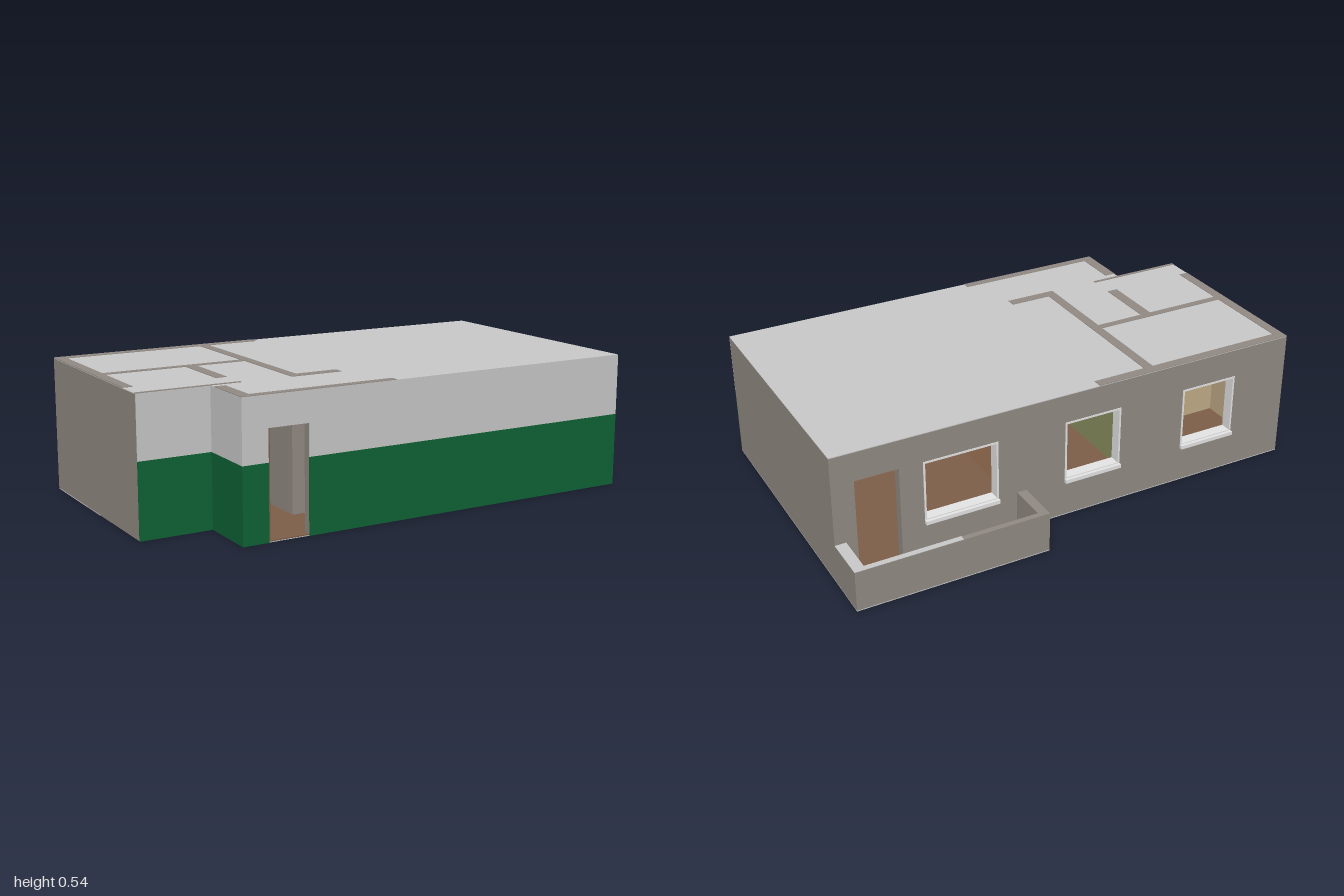
import * as THREE from 'three';
import { mergeGeometries } from 'three/addons/utils/BufferGeometryUtils.js';

const paint = (name, color) => {
  const m = new THREE.MeshStandardMaterial({ color });
  m.name = name;
  return m;
};

export function createModel() {
  const house = new THREE.Group();
  house.name = 'house';
  const taupe = paint('taupe render', 0x938b84);
  const grey = paint('light grey', 0xc9c9c9);
  const green = paint('dark green', 0x0e6236);
  const brown = paint('brown floor', 0x7d5f48);
  const terracotta = paint('terracotta wall', 0xa57858);
  const olive = paint('olive wall', 0x8c9160);
  const beige = paint('beige wall', 0xc2ad88);
  const white = paint('white trim', 0xe6e6e6);

  const H = 0.538, B = 0.004; // wall top and wall foot

  // box geometry given by its limits
  const block = (x0, x1, y0, y1, z0, z1) =>
    new THREE.BoxGeometry(x1 - x0, y1 - y0, z1 - z0)
      .translate((x0 + x1) / 2, (y0 + y1) / 2, (z0 + z1) / 2);
  const add = (name, mat, ...limits) => {
    const mesh = new THREE.Mesh(mergeGeometries(limits.map((l) => block(...l))), mat);
    mesh.name = name;
    house.add(mesh);
  };

  // straight wall along x or z, with rectangular openings [u0, u1, y0, y1]
  const wall = (name, mat, axis, u0, u1, p0, p1, openings = [], y0 = B, y1 = H) => {
    const parts = [];
    const piece = (a, b, lo, hi) => {
      if (b - a < 1e-4 || hi - lo < 1e-4) return;
      parts.push(axis === 'x' ? [a, b, lo, hi, p0, p1] : [p0, p1, lo, hi, a, b]);
    };
    let u = u0;
    for (const [a, b, lo, hi] of openings) {
      piece(u, a, y0, y1);
      piece(a, b, y0, Math.min(Math.max(lo, y0), y1));
      piece(a, b, Math.max(Math.min(hi, y1), y0), y1);
      u = b;
    }
    piece(u, u1, y0, y1);
    add(name, mat, ...parts);
  };

  // openings
  const windowBed = [-0.75, -0.5, 0.17, 0.42];
  const windowMid = [-0.21, 0.04, 0.17, 0.42];
  const windowLiving = [0.33, 0.64, 0.17, 0.42];
  const balconyDoor = [0.735, 0.91, 0, 0.42];
  const frontDoor = [-0.605, -0.44, 0, 0.42];
  const bedDoor = [-0.565, -0.41, 0, 0.43];
  const bathDoor = [0.26, 0.345, 0, 0.42];
  const midDoor = [-0.12, 0.06, 0, 0.42];
  const livingDoor = [0.42, 0.58, 0, 0.42];

  // outer walls
  wall('backWall', taupe, 'x', -1, 1, -0.45, -0.41, [windowBed, windowMid, windowLiving, balconyDoor]);
  wall('leftWall', taupe, 'z', -0.41, 0.627, 0.96, 1);
  wall('rightWall', taupe, 'z', -0.41, 0.382, -1, -0.96);
  wall('frontWall', taupe, 'x', -0.707, 0.96, 0.595, 0.627, [frontDoor]);
  wall('porchWall', taupe, 'z', 0.345, 0.595, -0.707, -0.67);
  wall('bathFrontWall', taupe, 'x', -0.96, -0.707, 0.345, 0.382);
  wall('bathInnerFrontWall', taupe, 'x', -0.67, -0.585, 0.345, 0.385);

  // two-tone paint on the front faces
  for (const [tone, mat, lo, hi] of [['lower', green, 0, 0.295], ['upper', grey, 0.295, H]]) {
    wall(tone + 'FrontPaint', mat, 'x', -0.71, 1, 0.627, 0.63, [frontDoor], lo, hi);
    wall(tone + 'PorchPaint', mat, 'z', 0.382, 0.627, -0.71, -0.707, [], lo, hi);
    wall(tone + 'BathFrontPaint', mat, 'x', -1, -0.71, 0.382, 0.385, [], lo, hi);
  }

  // partition walls
  wall('bedroomPartition', taupe, 'x', -0.96, -0.375, -0.03, 0, [bedDoor]);
  wall('bathPartition', taupe, 'z', 0, 0.345, -0.63, -0.585, [bathDoor]);
  wall('middlePartition', taupe, 'z', -0.41, 0.385, -0.375, -0.335);
  wall('hallPartition', taupe, 'x', -0.335, 0.13, 0.345, 0.385, [midDoor]);
  wall('livingPartition', taupe, 'z', -0.41, 0.595, 0.13, 0.17, [livingDoor]);

  // thin paint on the inner faces of a room
  const T = 0.004;
  const room = (name, mat, x0, x1, z0, z1, back = [], front = [], right = [], left = []) => {
    wall(name + 'BackPaint', mat, 'x', x0, x1, z0, z0 + T, back);
    wall(name + 'FrontPaint', mat, 'x', x0, x1, z1 - T, z1, front);
    wall(name + 'RightPaint', mat, 'z', z0 + T, z1 - T, x0, x0 + T, right);
    wall(name + 'LeftPaint', mat, 'z', z0 + T, z1 - T, x1 - T, x1, left);
  };
  room('bedroom', beige, -0.96, -0.375, -0.41, -0.03, [windowBed], [bedDoor]);
  room('middleRoom', olive, -0.335, 0.13, -0.41, 0.345, [windowMid], [midDoor]);
  room('livingRoom', terracotta, 0.17, 0.96, -0.41, 0.595, [windowLiving, balconyDoor], [], [livingDoor]);
  wall('hallBackPaint', green, 'x', -0.585, -0.375, 0, T, [bedDoor]);
  wall('hallSidePaint', green, 'z', T, 0.345, -0.585, -0.581, [bathDoor]);

  // floors
  const F = 0.008;
  add('floors', brown,
    [-0.96, -0.375, 0.001, F, -0.41, -0.03],
    [-0.335, 0.13, 0.001, F, -0.41, 0.345],
    [0.17, 0.96, 0.001, F, -0.41, 0.595],
    [-0.585, -0.375, 0.001, F, 0, 0.385],
    [-0.67, 0.13, 0.001, F, 0.385, 0.595],
    [-0.605, -0.44, 0.004, F, 0.595, 0.63],
    [0.25, 0.955, 0.001, F, -0.61, -0.45]);
  add('bathFloor', taupe, [-0.998, -0.6, 0, F, 0, 0.382]);

  // footings under the walls
  add('footings', grey,
    [-1, 1, 0, B, -0.45, -0.41], [0.96, 1, 0, B, -0.41, 0.627],
    [-1, -0.96, 0, B, -0.41, 0], [-0.707, 0.96, 0, B, 0.595, 0.627],
    [-0.707, -0.67, 0, B, 0.382, 0.595], [-0.96, -0.375, 0, B, -0.03, 0],
    [-0.6, -0.585, 0, B, 0, 0.26], [-0.375, -0.335, 0, B, -0.41, 0.385],
    [-0.335, 0.13, 0, B, 0.345, 0.385], [0.13, 0.17, 0, B, -0.41, 0.595],
    [0.21, 0.25, 0, B, -0.635, -0.45], [0.25, 1, 0, B, -0.635, -0.61],
    [0.955, 1, 0, B, -0.61, -0.45]);

  // flat roof with the wall heads showing as flush strips
  add('roof', grey,
    [-1, 1, H, 0.541, -0.45, 0.385], [-0.71, 1, H, 0.541, 0.385, 0.63]);
  const R = 0.5405, S = 0.543;
  add('wallHeads', taupe,
    [-1, -0.96, R, S, -0.41, 0.265], [-1, -0.11, R, S, -0.45, -0.41],
    [-0.96, -0.375, R, S, -0.03, 0], [-0.375, -0.335, R, S, -0.41, 0.385],
    [-0.63, -0.585, R, S, 0, 0.265], [-0.335, -0.16, R, S, 0.345, 0.385],
    [-1, -0.585, R, S, 0.372, 0.385], [-0.71, -0.665, R, S, 0.415, 0.63],
    [-0.665, -0.07, R, S, 0.598, 0.63]);

  // window linings and projecting sills
  for (const [x0, x1, y0, y1] of [windowBed, windowMid, windowLiving]) {
    const w = 0.008, z0 = -0.452, z1 = -0.406;
    add('windowFrame', white,
      [x0, x0 + w, y0, y1, z0, z1], [x1 - w, x1, y0, y1, z0, z1],
      [x0 + w, x1 - w, y1 - w, y1, z0, z1], [x0 + w, x1 - w, y0 - 0.004, y0 + 0.002, z0, z1]);
    add('windowSill', white, [x0, x1, 0.152, 0.168, -0.465, -0.45]);
  }

  // front door jamb
  add('doorJamb', brown, [-0.605, -0.6, F, 0.42, 0.595, 0.629]);

  // balcony parapet and its coping
  add('balconyParapet', taupe,
    [0.21, 0.25, B, 0.169, -0.635, -0.45], [0.25, 1, B, 0.169, -0.635, -0.612],
    [0.955, 1, B, 0.169, -0.612, -0.45]);
  add('balconyCoping', grey,
    [0.57, 1, 0.169, 0.171, -0.635, -0.612], [0.955, 1, 0.169, 0.171, -0.612, -0.45]);

  return house;
}
